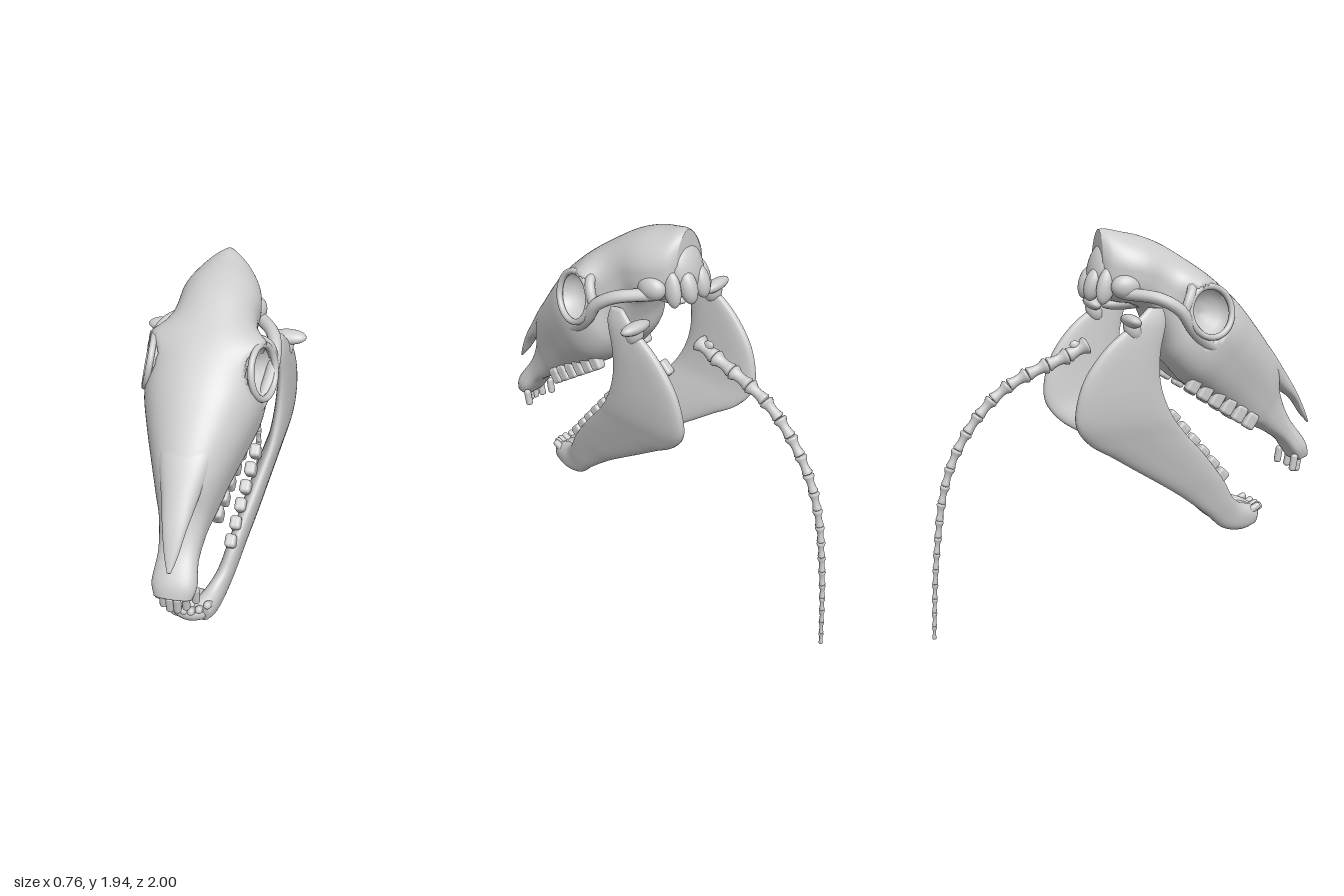
import * as THREE from 'three';
import { RoundedBoxGeometry } from 'three/addons/geometries/RoundedBoxGeometry.js';

const bone = new THREE.MeshStandardMaterial({ color: 0xcccccc });
const thinBone = new THREE.MeshStandardMaterial({ color: 0xcccccc, side: THREE.DoubleSide });
const V = (x, y, z) => new THREE.Vector3(x, y, z);

function add(parent, name, geometry, material = bone) {
  const mesh = new THREE.Mesh(geometry, material);
  mesh.name = name;
  parent.add(mesh);
  return mesh;
}

// Skin over stations [z1, y1, z2, y2, halfWidth, xCentre]: each ring spans edge 1 to edge 2.
// p1(t) and p2 set how boxy the halves near edge 1 and edge 2 are.
function loft(stations, { side = 1, p1 = () => 0.9, p2 = 0.9, steps = 5, around = 40, rule } = {}) {
  const last = stations.length - 1, pos = [], index = [], rows = last * steps + 1;
  const sample = t => {
    const i = Math.min(Math.floor(t), last - 1), f = t - i;
    const at = k => stations[Math.max(0, Math.min(last, k))];
    return at(i).map((b, k) => {
      const a = at(i - 1)[k], c = at(i + 1)[k], d = at(i + 2)[k];
      return b + 0.5 * f * (c - a + f * (2 * a - 5 * b + 4 * c - d + f * (3 * (b - c) + d - a)));
    });
  };
  const pow = (v, p) => Math.sign(v) * Math.abs(v) ** p;
  for (let r = 0; r < rows; r++) {
    const [z1, y1, z2, y2, w, xc = 0] = sample(r / steps);
    for (let k = 0; k < around; k++) {
      const a = k / around * Math.PI * 2, p = Math.cos(a) > 0 ? p1(r / steps) : p2;
      const c = pow(Math.cos(a), p), s = pow(Math.sin(a), p);
      const v = V(xc * side + w * s, (y1 + y2) / 2 + c * (y1 - y2) / 2, (z1 + z2) / 2 + c * (z1 - z2) / 2);
      if (rule) rule(v, c);
      pos.push(v.x, v.y, v.z);
      if (r < rows - 1) {
        const i = r * around + k, j = r * around + (k + 1) % around;
        index.push(i, i + around, j, j, i + around, j + around);
      }
    }
  }
  // End caps
  for (const t of [0, last]) {
    const [z1, y1, z2, y2, , xc = 0] = stations[t], centre = pos.length / 3;
    pos.push(xc * side, (y1 + y2) / 2, (z1 + z2) / 2);
    const base = t ? (rows - 1) * around : 0;
    for (let k = 0; k < around; k++) {
      const i = base + k, j = base + (k + 1) % around;
      index.push(centre, t ? j : i, t ? i : j);
    }
  }
  const g = new THREE.BufferGeometry();
  g.setAttribute('position', new THREE.Float32BufferAttribute(pos, 3));
  g.setIndex(index);
  g.computeVertexNormals();
  return g;
}

function blob(parent, name, p, s, rx = 0, rz = 0) {
  const m = add(parent, name, new THREE.SphereGeometry(1, 20, 14));
  m.position.set(...p);
  m.scale.set(...s);
  m.rotation.set(rx, 0, rz);
}

function tube(parent, name, pts, r) {
  add(parent, name, new THREE.TubeGeometry(new THREE.CatmullRomCurve3(pts), 32, r, 12));
}

// Row of cheek teeth between two points
function toothRow(parent, name, from, to, side, count, height, tilt) {
  for (let i = 0; i < count; i++) {
    const m = add(parent, name, new RoundedBoxGeometry(0.052, height, 0.064, 3, 0.016));
    m.position.lerpVectors(from, to, i / (count - 1));
    m.position.x *= side;
    m.rotation.x = tilt;
  }
}

// Six front teeth on an arc
function incisors(parent, name, y, z, halfWidth, depth, tilt) {
  for (let i = 0; i < 6; i++) {
    const a = (i - 2.5) / 2.5;
    const m = add(parent, name, new RoundedBoxGeometry(0.034, 0.09, 0.036, 3, 0.015));
    m.position.set(a * halfWidth, y + 0.02 * a * a, z - depth * a * a);
    m.rotation.set(tilt, 0, 0);
  }
}

export function createModel() {
  const model = new THREE.Group();
  model.name = 'skullWithTail';
  const skull = new THREE.Group(), jaw = new THREE.Group(), tail = new THREE.Group();
  skull.name = 'skull'; jaw.name = 'lowerJaw'; tail.name = 'tail';
  model.add(skull, jaw, tail);

  // Cranium and muzzle: brow ridges, eye sockets and hollow palate
  const shape = (v, c) => {
    v.x *= 1 + 0.38 * Math.exp(-((v.z - 0.31) ** 2 + (v.y - 1.68) ** 2) / 0.007);
    const d = Math.hypot(v.z - 0.335, v.y - 1.565) / 0.125;
    if (d < 1) v.x = Math.sign(v.x) * Math.min(Math.abs(v.x), 0.1 + 0.17 * d * d);
    if (c < -0.5 && Math.abs(v.x) < 0.1 && v.y > 0.92 && v.y < 1.32)
      v.y += 0.07 * (1 - (v.x / 0.1) ** 2) * Math.sin((v.y - 0.92) / 0.4 * Math.PI);
  };
  add(skull, 'cranium', loft([
    [-0.14, 1.94, -0.15, 1.66, 0.085], [-0.10, 1.94, -0.13, 1.62, 0.13], [-0.03, 1.925, -0.06, 1.60, 0.168],
    [0.06, 1.905, 0.0, 1.59, 0.184], [0.17, 1.86, 0.07, 1.55, 0.187], [0.30, 1.78, 0.12, 1.44, 0.215],
    [0.42, 1.695, 0.15, 1.32, 0.262], [0.545, 1.585, 0.22, 1.22, 0.263], [0.64, 1.475, 0.34, 1.135, 0.225],
    [0.74, 1.345, 0.48, 1.04, 0.172], [0.795, 1.25, 0.61, 0.95, 0.132], [0.81, 1.11, 0.71, 0.91, 0.105],
    [0.865, 0.97, 0.82, 0.84, 0.09], [0.96, 0.84, 0.87, 0.78, 0.1], [0.985, 0.77, 0.9, 0.735, 0.085],
  ], { p1: t => 1.2 - 0.32 * Math.min(1, t / 5), p2: 0.65, steps: 7, around: 72, rule: shape }));
  add(skull, 'nasalBone', loft([
    [0.70, 1.39, 0.62, 1.28, 0.13], [0.76, 1.32, 0.71, 1.22, 0.105], [0.835, 1.215, 0.79, 1.125, 0.078],
    [0.91, 1.1, 0.89, 1.05, 0.052], [0.965, 1.0, 0.95, 0.965, 0.03], [1.0, 0.925, 0.995, 0.915, 0.008],
  ]));

  // Back of the skull
  blob(skull, 'occipitalBone', [0, 1.75, -0.13], [0.1, 0.13, 0.06], 0.2);
  blob(skull, 'skullBase', [0, 1.6, 0.03], [0.06, 0.04, 0.16], -0.1);

  for (const side of [1, -1]) {
    blob(skull, 'occipitalCondyle', [side * 0.045, 1.69, -0.18], [0.042, 0.08, 0.042], 0.3);
    blob(skull, 'paracondylarProcess', [side * 0.105, 1.69, -0.135], [0.032, 0.09, 0.045], 0.3, side * 0.1);
    blob(skull, 'earRegion', [side * 0.145, 1.685, -0.05], [0.05, 0.06, 0.075]);

    // Eye socket: rim and bowl
    const orbit = new THREE.Group();
    orbit.name = 'eyeSocket';
    orbit.position.set(side * 0.258, 1.565, 0.33);
    orbit.quaternion.setFromUnitVectors(V(0, 0, 1), V(side * 0.94, 0.2, 0.22).normalize());
    skull.add(orbit);
    add(orbit, 'socketRim', new THREE.TorusGeometry(0.119, 0.015, 12, 40));
    const bowl = [[0.118, 0], [0.112, -0.03], [0.09, -0.065], [0.05, -0.09], [0, -0.098]];
    add(orbit, 'socketBowl', new THREE.LatheGeometry(bowl.map(p => new THREE.Vector2(...p)), 32), thinBone)
      .rotation.x = Math.PI / 2;

    // Cheek arch and bar behind the eye
    tube(skull, 'cheekArch', [V(side * 0.22, 1.37, 0.4), V(side * 0.25, 1.42, 0.31), V(side * 0.27, 1.49, 0.235),
      V(side * 0.278, 1.58, 0.17), V(side * 0.25, 1.635, 0.08), V(side * 0.15, 1.655, -0.06)], 0.03);
    tube(skull, 'postorbitalBar', [V(side * 0.17, 1.68, 0.25), V(side * 0.235, 1.67, 0.24),
      V(side * 0.265, 1.63, 0.215), V(side * 0.275, 1.56, 0.185)], 0.024);

    toothRow(skull, 'upperCheekTooth', V(0.12, 0.985, 0.61), V(0.175, 1.205, 0.28), side, 6, 0.085, 0.56);

    // Half of the lower jaw, from the upper tip down to the chin
    add(jaw, 'jawBone', loft([
      [0.08, 1.6, 0.01, 1.605, 0.014, 0.275], [0.09, 1.53, -0.07, 1.535, 0.02, 0.287],
      [0.065, 1.4, -0.19, 1.44, 0.028, 0.289], [0.065, 1.28, -0.29, 1.31, 0.034, 0.286],
      [0.09, 1.18, -0.335, 1.18, 0.038, 0.28], [0.14, 1.08, -0.335, 1.065, 0.04, 0.267],
      [0.21, 0.99, -0.265, 0.97, 0.042, 0.242], [0.27, 0.925, -0.15, 0.895, 0.043, 0.222],
      [0.33, 0.86, -0.03, 0.815, 0.043, 0.202], [0.4, 0.775, 0.13, 0.71, 0.042, 0.176],
      [0.465, 0.69, 0.25, 0.625, 0.04, 0.152], [0.52, 0.6, 0.38, 0.52, 0.04, 0.124],
      [0.58, 0.55, 0.48, 0.43, 0.046, 0.09], [0.65, 0.525, 0.59, 0.4, 0.055, 0.06],
      [0.69, 0.505, 0.67, 0.42, 0.045, 0.05],
    ], { side, p2: 0.7 }));
    blob(jaw, 'jawCondyle', [side * 0.292, 1.55, -0.08], [0.088, 0.03, 0.042], 0.4, side * 0.05);
    blob(jaw, 'condyleNeck', [side * 0.287, 1.51, -0.07], [0.035, 0.06, 0.04], -0.5);
    toothRow(jaw, 'lowerCheekTooth', V(0.143, 0.72, 0.44), V(0.195, 1.05, 0.155), side, 6, 0.085, 0.8);
  }

  // Chin joining both jaw halves, and the front teeth
  blob(jaw, 'chin', [0, 0.462, 0.615], [0.105, 0.06, 0.095], 0.1);
  incisors(skull, 'upperIncisor', 0.71, 0.94, 0.085, 0.06, 0.15);
  incisors(jaw, 'lowerIncisor', 0.485, 0.695, 0.085, 0.04, 1.1);

  // Tail: spool-shaped vertebrae shrinking along a curve
  const path = new THREE.CatmullRomCurve3([[1.4, -0.2], [1.345, -0.315], [1.285, -0.475], [1.215, -0.61],
    [1.09, -0.74], [0.92, -0.85], [0.73, -0.915], [0.465, -0.955], [0.24, -0.975], [0.003, -0.988]]
    .map(([y, z]) => V(-0.01, y, z)));
  const profile = [[0, 0], [0.8, 0], [1, 0.07], [0.92, 0.16], [0.68, 0.32], [0.62, 0.55], [0.72, 0.8],
    [0.85, 0.93], [0.7, 1], [0, 1]].map(p => new THREE.Vector2(...p));
  const spool = new THREE.LatheGeometry(profile, 14);
  const count = 20, mark = i => (i / count) * (1.25 - 0.25 * i / count);
  for (let i = 0; i < count; i++) {
    const a = path.getPointAt(mark(i)), b = path.getPointAt(Math.min(1, mark(i + 1)));
    const r = 0.012 + 0.032 * (1 - i / count) ** 1.4;
    const m = add(tail, 'vertebra', spool);
    m.position.copy(a);
    m.scale.set(r, a.distanceTo(b) * 0.98, r);
    m.quaternion.setFromUnitVectors(V(0, 1, 0), b.sub(a).normalize());
  }
  blob(tail, 'firstVertebraSpine', [-0.01, 1.395, -0.255], [0.016, 0.025, 0.035], 0.6);
  return model;
}
